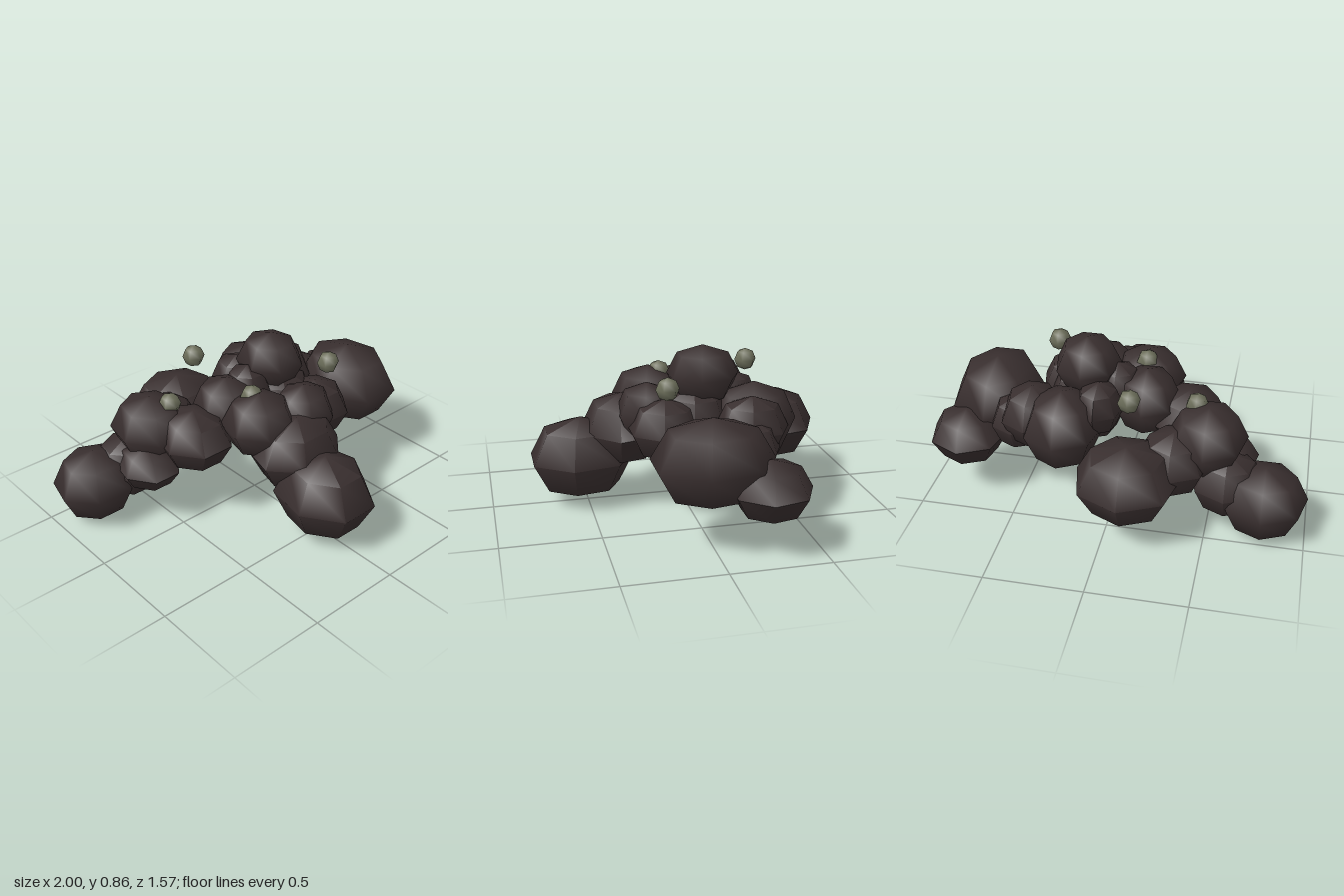
import * as THREE from 'three';
import { toCreasedNormals } from 'three/addons/utils/BufferGeometryUtils.js';

const rock = new THREE.MeshStandardMaterial({ color: 0x392f2f });
rock.name = 'dark rock';
const pebbleMat = new THREE.MeshStandardMaterial({ color: 0x6e705c });
pebbleMat.name = 'grey green pebble';

// Faceted boulder: seven sides with a corner towards the back
function boulder(name, [x, y, z], [rx, ry, rz], smooth = false) {
  const geo = new THREE.SphereGeometry(1, 7, 4);
  geo.rotateY(-Math.PI / 2);
  geo.scale(rx, ry, rz);
  const mesh = new THREE.Mesh(smooth ? geo : toCreasedNormals(geo, THREE.MathUtils.degToRad(53)), rock);
  mesh.position.set(x, y, z);
  mesh.name = name;
  return mesh;
}

export function createModel() {
  const model = new THREE.Group();
  model.name = 'boulderCluster';

  const boulders = [
    // front arm
    ['frontFoot', [0, 0.25, 0.53], [0.24, 0.22, 0.283]],
    ['frontArm', [0.01, 0.4, 0.31], [0.26, 0.19, 0.218]],
    // back arm
    ['backFoot', [-0.11, 0.33, -0.53], [0.27, 0.2, 0.26]],
    // right arm
    ['rightFoot', [-0.78, 0.2, -0.38], [0.225, 0.195, 0.21], true],
    ['rightAnkle', [-0.59, 0.255, -0.34], [0.19, 0.17, 0.185]],
    ['rightShin', [-0.57, 0.31, -0.195], [0.165, 0.115, 0.195]],
    ['rightKnee', [-0.475, 0.465, -0.28], [0.205, 0.178, 0.225], true],
    ['rightShoulder', [-0.355, 0.445, -0.07], [0.2, 0.16, 0.22]],
    ['rightBackShoulder', [-0.32, 0.37, -0.37], [0.19, 0.17, 0.2]],
    // left arm
    ['leftFoot', [0.695, 0.43, 0], [0.255, 0.22, 0.31], true],
    ['leftToe', [0.8, 0.31, -0.255], [0.205, 0.15, 0.205]],
    ['leftAnkle', [0.52, 0.42, -0.24], [0.15, 0.15, 0.15]],
    ['leftKnee', [0.43, 0.49, -0.27], [0.17, 0.165, 0.19]],
    ['leftBackShoulder', [0.26, 0.47, -0.33], [0.21, 0.21, 0.23], true],
    ['leftShoulder', [0.3, 0.47, 0.14], [0.19, 0.16, 0.195]],
    // middle pile
    ['core', [0.2, 0.45, -0.03], [0.22, 0.22, 0.2]],
    ['frontRightMound', [-0.1, 0.53, 0.15], [0.2, 0.17, 0.2], true],
    ['rightMound', [-0.13, 0.53, -0.08], [0.18, 0.18, 0.19], true],
    ['frontLeftMound', [0.155, 0.52, 0.205], [0.175, 0.16, 0.165], true],
    ['middleMound', [0.02, 0.6, -0.08], [0.13, 0.13, 0.13]],
    ['backMound', [0.09, 0.56, -0.25], [0.13, 0.14, 0.15]],
    ['topBoulder', [0.18, 0.71, -0.08], [0.175, 0.155, 0.19], true],
  ];
  for (const b of boulders) model.add(boulder(...b));

  // Small pebbles resting on top
  const pebbleGeo = new THREE.SphereGeometry(0.06, 6, 4).rotateY(Math.PI / 2);
  const pebbles = [[0.39, 0.705, 0.148], [-0.095, 0.7, -0.39], [-0.1, 0.66, 0.09], [-0.405, 0.605, -0.2]];
  pebbles.forEach((p, i) => {
    const mesh = new THREE.Mesh(pebbleGeo, pebbleMat);
    mesh.position.set(...p);
    mesh.name = `pebble${i + 1}`;
    model.add(mesh);
  });
  return model;
}
